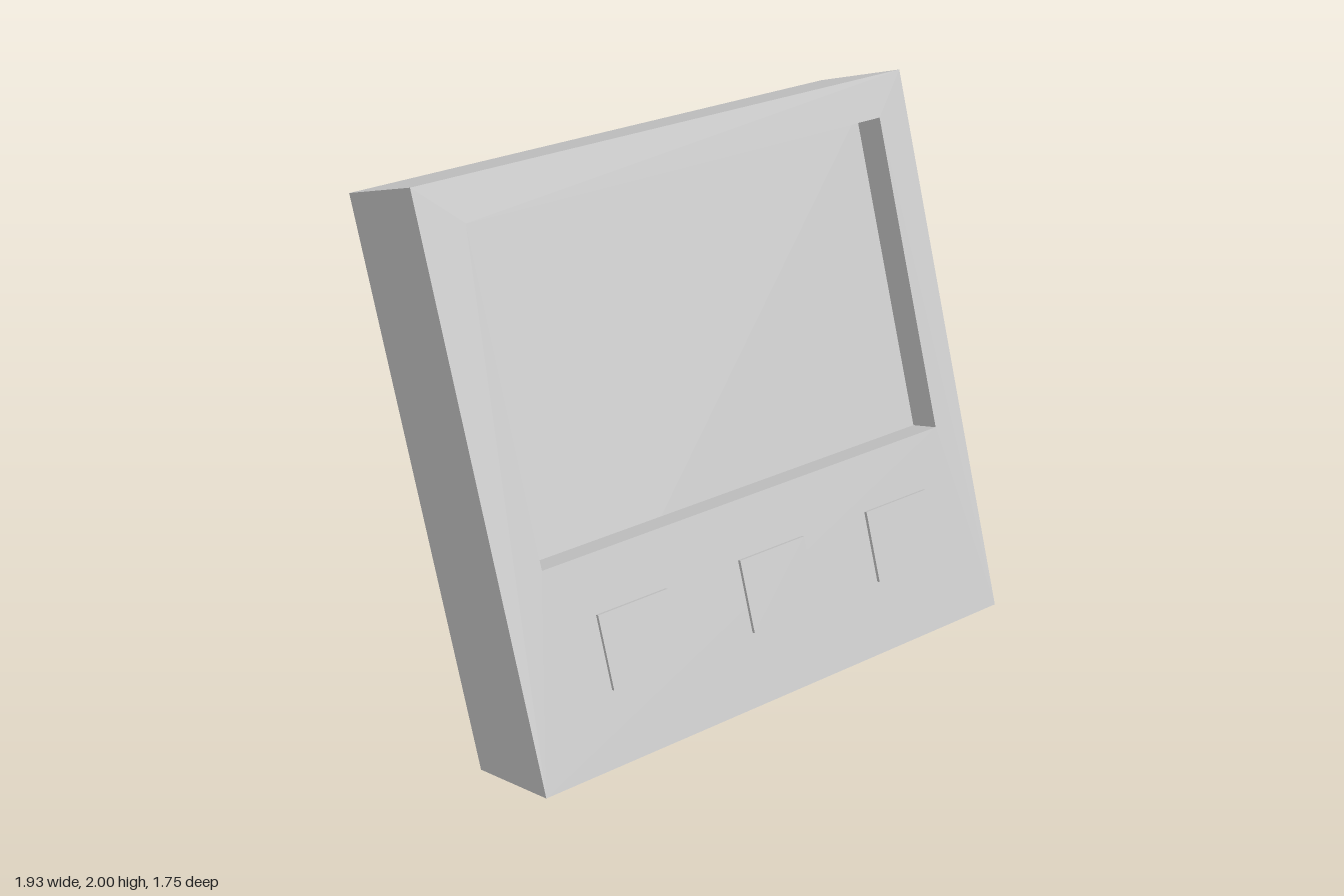
import * as THREE from 'three';

const material = new THREE.MeshStandardMaterial({ color: 0xcccccc });

function add(parent, name, geometry, x = 0, y = 0, z = 0) {
  const mesh = new THREE.Mesh(geometry, material);
  mesh.name = name;
  mesh.position.set(x, y, z);
  parent.add(mesh);
  return mesh;
}

// Rectangle corners, usable for shapes and holes
const rect = (x0, y0, x1, y1) => [
  new THREE.Vector2(x0, y0), new THREE.Vector2(x1, y0),
  new THREE.Vector2(x1, y1), new THREE.Vector2(x0, y1),
];

export function createModel() {
  const model = new THREE.Group();
  model.name = 'tiltedDisplay';

  const halfWidth = 0.967, height = 1.969, depth = 0.443, recess = 0.122;

  // Housing leans back; its origin is the lower front edge
  const housing = new THREE.Group();
  housing.name = 'housing';
  housing.position.set(0, 0.155, 0.875);
  housing.rotation.x = -THREE.MathUtils.degToRad(20.5);
  model.add(housing);

  // Front frame with the screen opening
  const face = new THREE.Shape(rect(-halfWidth, 0, halfWidth, height));
  face.holes.push(new THREE.Path(rect(-0.81, 0.708, 0.843, 1.824).reverse()));
  add(housing, 'frontFrame',
    new THREE.ExtrudeGeometry(face, { depth: recess, bevelEnabled: false }), 0, 0, -recess);

  // Solid rear body, whose front forms the sunken screen
  const rear = depth - recess;
  add(housing, 'rearBody', new THREE.BoxGeometry(halfWidth * 2, height, rear),
    0, height / 2, -recess - rear / 2);

  // Three shallow buttons below the screen
  for (const x of [-0.518, 0.051, 0.601]) {
    add(housing, 'button', new THREE.BoxGeometry(0.273, 0.256, 0.026), x, 0.381, 0);
  }

  // Round hinge half sunk into the back
  const hinge = add(model, 'hinge',
    new THREE.CylinderGeometry(0.095, 0.095, 1.125, 48), -0.018, 1.303, -0.023);
  hinge.rotation.z = Math.PI / 2;

  // Flat rear leg, from the hinge down to the ground
  const top = new THREE.Vector2(-0.08, 1.283), foot = new THREE.Vector2(-0.86, 0.0275);
  const leg = add(model, 'rearLeg', new THREE.BoxGeometry(0.7, top.distanceTo(foot), 0.033),
    -0.045, (top.y + foot.y) / 2, (top.x + foot.x) / 2);
  leg.rotation.x = Math.atan2(top.x - foot.x, top.y - foot.y);

  return model;
}
